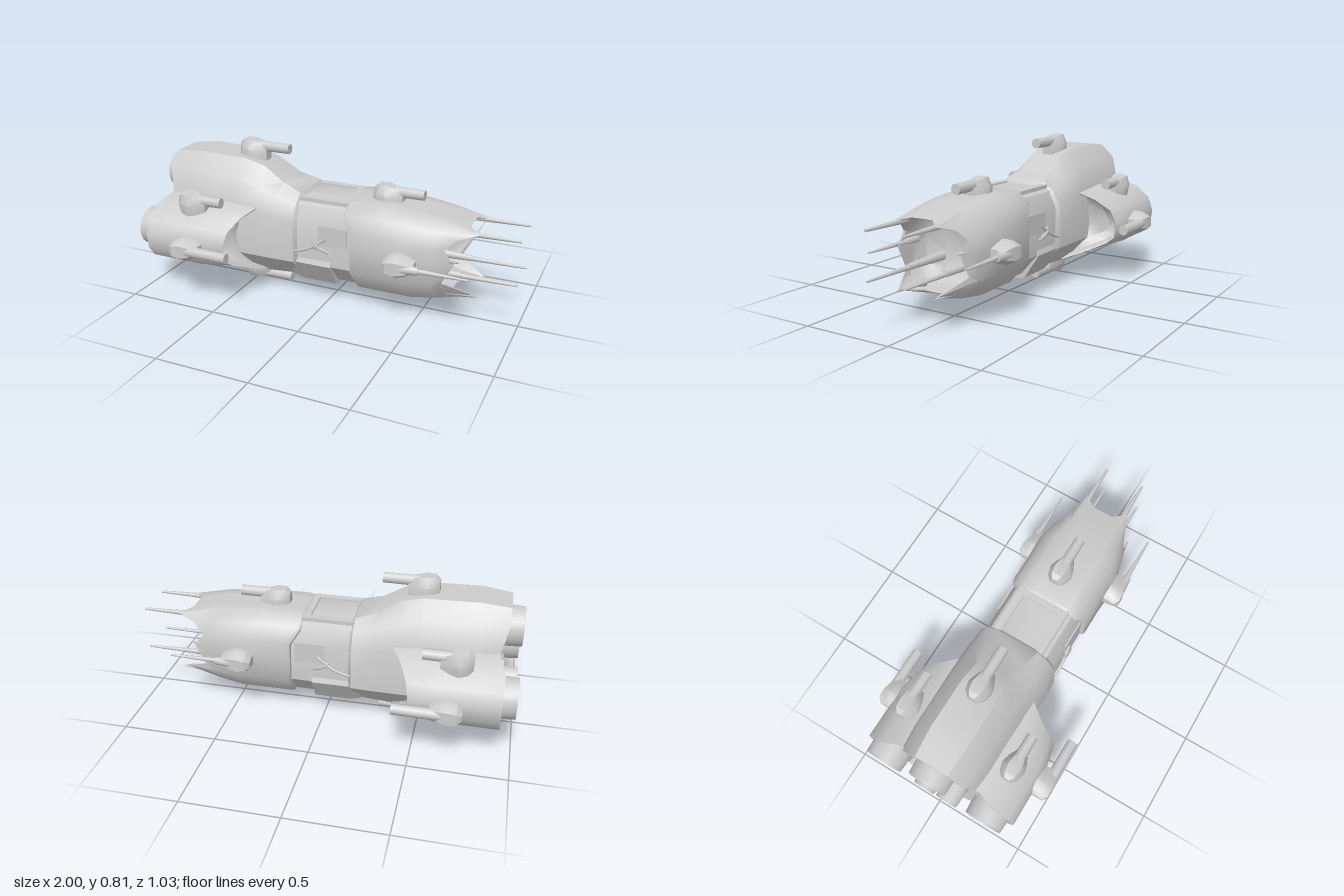
import * as THREE from 'three';
import { toCreasedNormals } from 'three/addons/utils/BufferGeometryUtils.js';

const mat = new THREE.MeshStandardMaterial({ color: 0xcccccc });
const matTwo = new THREE.MeshStandardMaterial({ color: 0xcccccc, side: THREE.DoubleSide });

// Skin closed rings of [x, y, z], ordered from tail to nose, with capped ends
function loft(rings, crease = 0.6) {
  const n = rings[0].length, pos = rings.flat(2), idx = [];
  for (let r = 0; r < rings.length - 1; r++) {
    for (let j = 0; j < n; j++) {
      const a = r * n + j, b = r * n + (j + 1) % n;
      idx.push(a, b, a + n, b, b + n, a + n);
    }
  }
  const cap = (r, flip) => {
    const c = pos.length / 3;
    for (let k = 0; k < 3; k++) pos.push(rings[r].reduce((s, p) => s + p[k], 0) / n);
    for (let j = 0; j < n; j++) {
      const a = r * n + j, b = r * n + (j + 1) % n;
      idx.push(c, flip ? b : a, flip ? a : b);
    }
  };
  cap(0, true);
  cap(rings.length - 1, false);
  const g = new THREE.BufferGeometry();
  g.setAttribute('position', new THREE.Float32BufferAttribute(pos, 3));
  g.setIndex(idx);
  return toCreasedNormals(g, crease);
}

// Half outline (top to bottom, +z side) mirrored into a full ring
const mirrorRing = half => [...half, ...[...half].reverse().map(([x, y, z]) => [x, y, -z])];
const section = (x, zy) => mirrorRing(zy.map(([z, y]) => [x, y, z]));

// Shrink a ring about (cy, cz) and slide it along x
const inset = (ring, s, dx, cy, cz = 0) =>
  ring.map(([x, y, z]) => [x + dx, cy + (y - cy) * s, cz + (z - cz) * s]);

export function createModel() {
  const ship = new THREE.Group();
  const add = (name, geo, parent = ship, m = mat) => {
    const mesh = new THREE.Mesh(geo, m);
    mesh.name = name;
    parent.add(mesh);
    return mesh;
  };
  // Tapered rod along +x
  const rod = (name, x0, x1, y, z, r0, r1, parent = ship, sides = 8) => {
    const mesh = add(name, new THREE.CylinderGeometry(r1, r0, x1 - x0, sides), parent);
    mesh.rotation.z = -Math.PI / 2;
    mesh.position.set((x0 + x1) / 2, y, z);
  };

  // Rear hull with its raised back, notched where the pods join
  const tail = section(-0.93, [[.09, .725], [.17, .65], [.22, .50], [.22, .25], [.12, .135]])
    .map(([x, y, z]) => [y === .50 ? -0.89 : x, y, z]);
  add('rearHull', loft([
    inset(tail, 0.85, 0.06, 0.42), inset(tail, 0.93, 0, 0.42), tail,
    section(-0.78, [[.10, .742], [.18, .65], [.23, .50], [.23, .24], [.12, .115]]),
    section(-0.50, [[.10, .735], [.18, .64], [.23, .50], [.23, .24], [.12, .10]]),
    section(-0.39, [[.09, .705], [.18, .61], [.23, .50], [.23, .24], [.12, .11]]),
    section(-0.27, [[.10, .63], [.18, .575], [.23, .48], [.23, .24], [.12, .12]]),
    section(-0.16, [[.12, .595], [.18, .55], [.225, .46], [.225, .24], [.12, .13]]),
    section(-0.14, [[.11, .57], [.17, .53], [.20, .46], [.20, .24], [.11, .14]]),
  ]));

  // Neck and its panels
  add('neck', loft([-0.2, 0.2].map(x =>
    section(x, [[.12, .575], [.165, .55], [.205, .46], [.205, .24], [.11, .13]]))));
  add('bellyBlock', loft([
    section(-0.2, [[.1, .3], [.2, .28], [.205, .24], [.13, .125], [.1, .115]]),
    section(-0.14, [[.1, .3], [.2, .28], [.215, .24], [.13, .11], [.1, .10]]),
    section(0.05, [[.1, .3], [.2, .28], [.215, .24], [.13, .11], [.1, .10]]),
  ]));
  // Raised frame around the top hatch
  const bar = add('hatchFrame', new THREE.BoxGeometry(0.05, 0.02, 0.25));
  bar.position.set(0.1, 0.573, 0);
  for (const s of [-1, 1]) {
    const rail = add('neckRail', new THREE.BoxGeometry(0.27, 0.02, 0.04));
    rail.position.set(-0.02, 0.573, s * 0.125);
    const plate = add('neckSidePlate', new THREE.BoxGeometry(0.16, 0.11, 0.025));
    plate.position.set(0.06, 0.41, s * 0.198);
    // Bent pipes on the flank
    [[[-.19, .295], [-.08, .33], [.02, .395]], [[-.05, .34], [0, .34], [.04, .32]],
      [[-.05, .375], [-.02, .35], [.01, .335]]].forEach(path => {
      const curve = new THREE.CatmullRomCurve3(
        path.map(([x, y], i) => new THREE.Vector3(x, y, s * (i === 1 ? .222 : .21))));
      add('flankPipe', new THREE.TubeGeometry(curve, 8, 0.008, 5));
    });
  }

  // Front hull with a ragged open mouth; its collar starts further forward on the flanks
  const oct = (x, w, top, bot) => section(x, [[.06, top], [.13 * w / .23, top], [w * .83, top - .05],
    [w, top - .13], [w * 1.01, .37], [w, .24], [w * .55, bot], [.05, bot]]);
  const collar = ring => ring.map(([x, y, z]) => [y < .47 ? x + .05 : x, y, z]);
  const mouth = mirrorRing([[.74, .535, .06], [.80, .52, .125], [.70, .49, .165], [.645, .44, .19],
    [.70, .37, .185], [.64, .26, .19], [.79, .19, .115], [.66, .165, .05]]);
  add('frontHull', loft([
    collar(oct(.11, .20, .565, .14)), collar(oct(.112, .222, .585, .125)), collar(oct(.13, .228, .592, .118)),
    oct(.32, .228, .592, .118), oct(.46, .236, .582, .12), oct(.60, .212, .567, .138), mouth,
    inset(mouth, 0.97, -0.01, .36),
    oct(.56, .2, .54, .16), oct(.49, .175, .515, .185), oct(.45, .09, .45, .27),
  ], 0.8), ship, matTwo);

  // Spikes and teeth around the mouth
  for (const s of [-1, 1]) {
    rod('upperSpike', 0.72, 1, 0.515, s * 0.11, 0.016, 0.007);
    rod('lowerSpikeBase', 0.45, 0.72, 0.285, s * 0.11, 0.026, 0.016);
    rod('lowerSpike', 0.70, 1, 0.283, s * 0.11, 0.014, 0.006);
    rod('lowerTooth', 0.60, 0.80, 0.185, s * 0.115, 0.03, 0.004, ship, 5);
    rod('sideTooth', 0.56, 0.72, 0.385, s * 0.185, 0.025, 0.004, ship, 5);
  }

  // Side pods with scooped front faces
  for (const s of [-1, 1]) {
    const outline = [[.12, .54], [.23, .525], [.33, .487], [.41, .425], [.44, .345], [.43, .27],
      [.39, .212], [.27, .17], [.12, .105]];
    const ring = fx => outline.map(([z, y]) => [fx(z), y, z]);
    const back = ring(z => z < .26 ? -0.90 : -0.93).map(([x, y, z]) => [x, y < .2 ? y + .025 : y, z]);
    // The rim sweeps back towards its outer edge
    const rim = ring(z => -0.36 - Math.max(0, z - .2) * 0.5)
      .map(([x, y, z]) => [x, y < .25 ? y + .01 : y - .015, z > .3 ? z - .03 : z]);
    const rings = [
      inset(back, 0.8, 0.06, .33, .25), inset(back, 0.9, 0, .33, .25), back,
      ring(() => -0.62), rim, inset(rim, 0.95, -0.005, .33, .2), inset(rim, 0.86, -0.07, .33, .2),
      inset(rim, 0.6, -0.09, .33, .2),
    ];
    const sided = s > 0 ? rings : rings.map(r => r.map(([x, y, z]) => [x, y, -z]).reverse());
    add(s > 0 ? 'leftPod' : 'rightPod', loft(sided, 0.8), ship, matTwo);
  }

  // Engine nozzles, hollow and open to the rear
  const nozzle = (y, z, r) => {
    const profile = [[0, .06], [r * .75, .04], [r * .88, -.1], [r * .97, -.1], [r, -.05], [r * 1.02, .08]];
    const geo = new THREE.LatheGeometry(profile.map(([a, b]) => new THREE.Vector2(a, b)), 20);
    const mesh = add('engineNozzle', toCreasedNormals(geo, 0.6), ship, matTwo);
    mesh.rotation.z = -Math.PI / 2;
    mesh.position.set(-0.9, y, z);
  };
  nozzle(.585, 0, .105);
  for (const s of [-1, 1]) {
    nozzle(.345, s * .3, .105);
    nozzle(.235, s * .068, .064);
  }

  // Gun turrets: faceted housing, sloped collar and barrel, rolled about x to face outward
  const turret = (name, x, y, z, roll, tip, spike = 0) => {
    const g = new THREE.Group();
    g.name = name;
    const box = (px, w, h) => section(px, [[w * .55, h - .02], [w, h * .55 - .02], [w, -.025]]);
    add('turretHousing', loft([box(-.07, .025, .085), box(-.045, .05, .105), box(0, .063, .105),
      box(.045, .05, .095), box(.09, .028, .085)], 0.6), g);
    rod('turretBarrel', 0.03, tip, 0.052, 0, 0.03, spike ? 0.02 : 0.028, g);
    if (spike) rod('turretSpike', tip - 0.01, spike, 0.05, 0, 0.014, 0.005, g);
    g.rotation.x = roll;
    g.position.set(x, y, z);
    ship.add(g);
  };
  turret('topRearTurret', -0.5, .732, 0, 0, .22);
  turret('bottomRearTurret', -0.5, .088, 0, Math.PI, .22);
  turret('topFrontTurret', 0.28, .582, 0, 0, .20);
  for (const s of [-1, 1]) {
    turret('podSideTurret', -0.68, .32, s * .432, s * Math.PI / 2, .27);
    turret('podTopTurret', -0.71, .493, s * .305, s * 0.15, .18);
    turret('frontSideTurret', 0.43, .348, s * .232, s * Math.PI / 2, .12, .37);
  }
  return ship;
}
